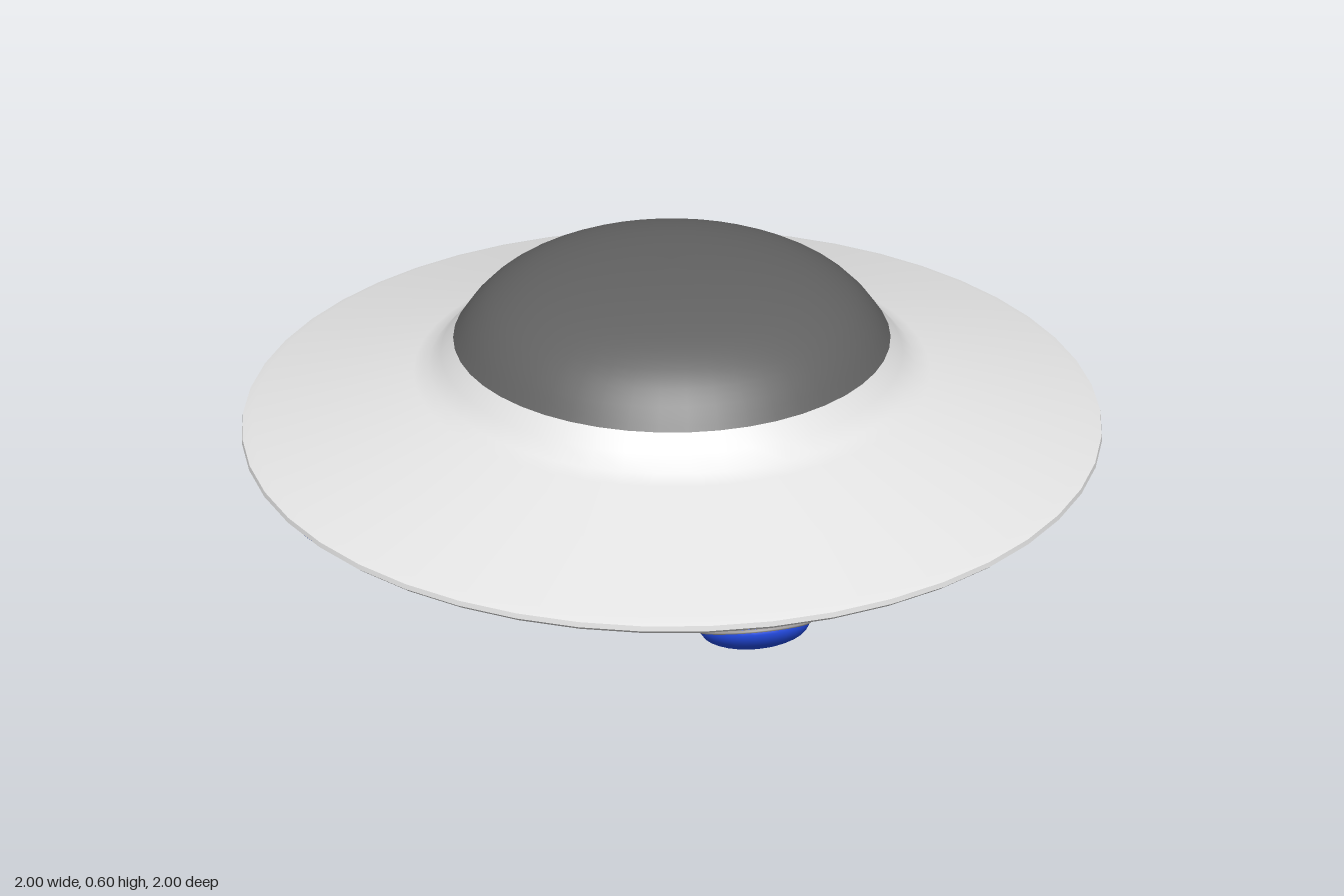
import * as THREE from 'three';
import { toCreasedNormals } from 'three/addons/utils/BufferGeometryUtils.js';

const SEGMENTS = 48;

const hullMat = new THREE.MeshStandardMaterial({ name: 'light grey hull', color: 0xe4e4e4 });
const underMat = new THREE.MeshStandardMaterial({ name: 'mid grey underside', color: 0xa4a1a1 });
const domeMat = new THREE.MeshStandardMaterial({ name: 'dark grey dome', color: 0x626262 });
const lightMat = new THREE.MeshStandardMaterial({ name: 'blue lamp', color: 0x244de8 });

// Turned part from [radius, height] pairs, listed from bottom to top
function turned(name, profile, material, crease) {
  const points = profile.map(([r, y]) => new THREE.Vector2(r, y));
  let geometry = new THREE.LatheGeometry(points, SEGMENTS);
  if (crease) geometry = toCreasedNormals(geometry, crease);
  const mesh = new THREE.Mesh(geometry, material);
  mesh.name = name;
  return mesh;
}

// Flattened lamp with a thin bezel, lying in its own xz plane
function createLamp() {
  const lamp = new THREE.Group();
  const lens = new THREE.Mesh(new THREE.SphereGeometry(0.114, 28, 16), lightMat);
  lens.name = 'lampLens';
  lens.scale.y = 0.42;
  const bezel = new THREE.Mesh(new THREE.TorusGeometry(0.115, 0.004, 6, 32), underMat);
  bezel.name = 'lampBezel';
  bezel.rotation.x = Math.PI / 2;
  lamp.add(lens, bezel);
  return lamp;
}

export function createModel() {
  const saucer = new THREE.Group();
  saucer.name = 'saucer';

  // Underside: shallow base, short step, sloping skirt
  saucer.add(
    turned('base', [[0, 0], [0.3, 0.004], [0.655, 0.018]], underMat),
    turned('baseStep', [[0.655, 0.018], [0.668, 0.045], [0.7, 0.071]], underMat),
    turned('skirt', [[0.7, 0.071], [0.988, 0.218]], underMat)
  );

  // Upper hull: thin rim, wide slope, collar round the dome
  saucer.add(turned('upperHull', [
    [0.988, 0.218], [1, 0.229], [0.998, 0.24], [0.975, 0.248],
    [0.6, 0.338], [0.565, 0.35], [0.535, 0.382], [0.505, 0.418],
  ], hullMat, 0.6));

  // Dome
  const domeCurve = new THREE.SplineCurve([
    [0.505, 0.418], [0.468, 0.468], [0.415, 0.515], [0.335, 0.555],
    [0.23, 0.581], [0.115, 0.594], [0, 0.598],
  ].map(([r, y]) => new THREE.Vector2(r, y)));
  const domeProfile = domeCurve.getPoints(20).map((p) => [Math.max(p.x, 0), p.y]);
  saucer.add(turned('dome', domeProfile, domeMat));

  // Five lamps set into the skirt, the first facing forward
  const slope = Math.atan2(0.147, 0.288);
  for (let i = 0; i < 5; i++) {
    const arm = new THREE.Group();
    arm.name = `lamp${i + 1}`;
    arm.rotation.y = (i * Math.PI * 2) / 5;
    const lamp = createLamp();
    lamp.position.set(0, 0.139, 0.85);
    lamp.rotation.x = -slope;
    arm.add(lamp);
    saucer.add(arm);
  }
  return saucer;
}
